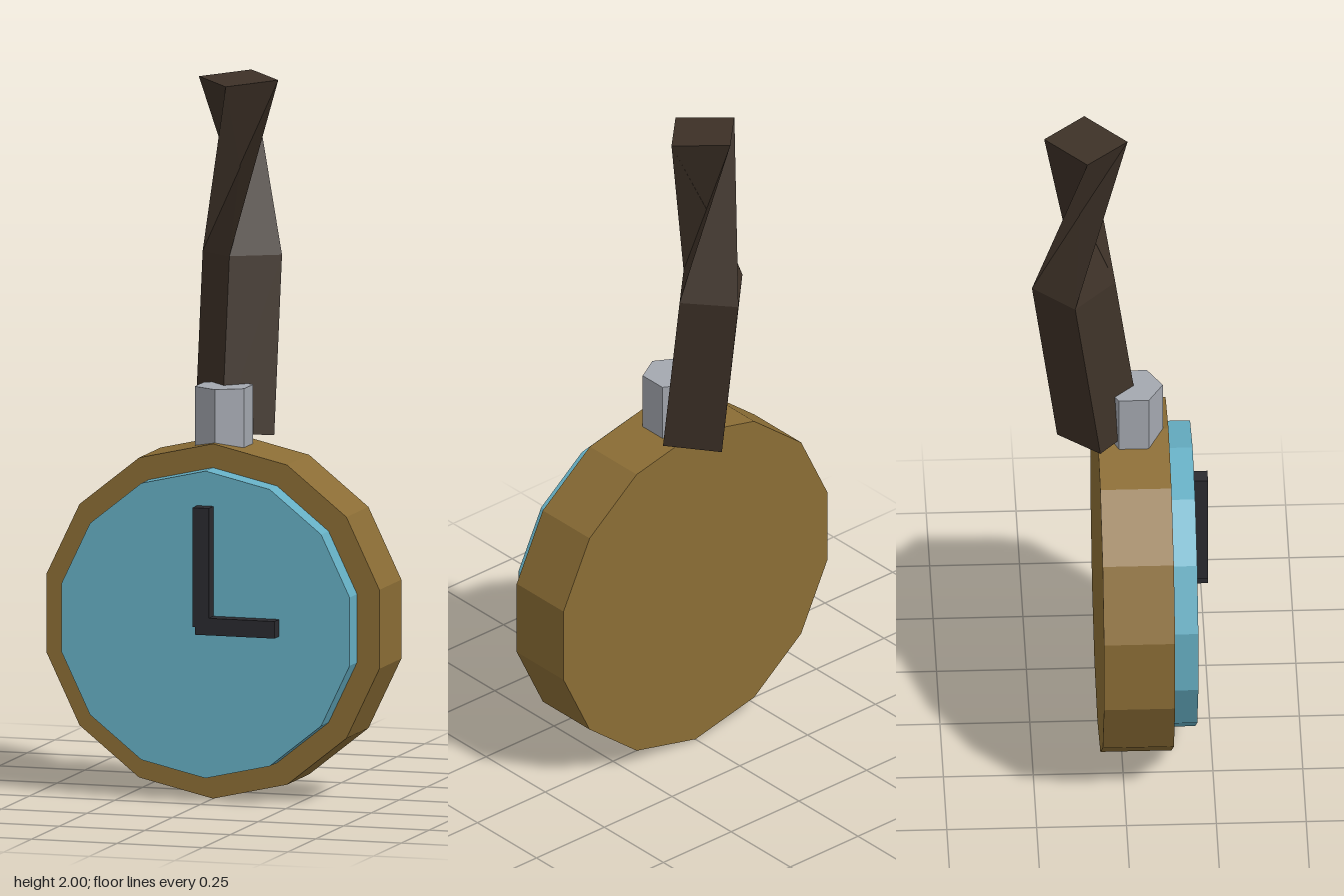
import * as THREE from 'three';

const material = (color) => new THREE.MeshStandardMaterial({ color, flatShading: true });

function addPart(group, name, geometry, mat, x, y, z) {
  const mesh = new THREE.Mesh(geometry, mat);
  mesh.name = name;
  mesh.position.set(x, y, z);
  group.add(mesh);
}

// Strap skin: diamond rings [y, z, tilt, turn], turn counted in quarter twists
function strapGeometry(rings, radius) {
  const positions = [];
  const index = [];
  for (const [y, z, tilt, turn] of rings) {
    for (let i = 0; i < 4; i++) {
      const a = (i + turn) * Math.PI / 2;
      const dz = Math.cos(a) * radius;
      positions.push(Math.sin(a) * radius, y + dz * tilt, z + dz);
    }
  }
  for (let r = 0; r < rings.length - 1; r++) {
    for (let i = 0; i < 4; i++) {
      const a = r * 4 + i, b = r * 4 + (i + 1) % 4;
      index.push(a, b, b + 4, a, b + 4, a + 4);
    }
  }
  const top = (rings.length - 1) * 4;
  index.push(0, 2, 1, 0, 3, 2, top, top + 1, top + 2, top, top + 2, top + 3);
  const geometry = new THREE.BufferGeometry();
  geometry.setAttribute('position', new THREE.Float32BufferAttribute(positions, 3));
  geometry.setIndex(index);
  const flat = geometry.toNonIndexed();
  flat.computeVertexNormals();
  return flat;
}

export function createModel() {
  const group = new THREE.Group();
  group.name = 'pocketWatch';
  const brass = material(0x8b6d35);
  const blue = material(0x66afc4);
  const steel = material(0xa4a8b0);
  const dark = material(0x2a2a2f);
  const leather = material(0x3d3127);
  // The twist pinches into paper-thin fins, so both sides show
  leather.side = THREE.DoubleSide;

  // Fourteen-sided case and raised dial
  const disc = (r, depth) => new THREE.CylinderGeometry(r, r, depth, 14).rotateX(Math.PI / 2);
  addPart(group, 'case', disc(0.499, 0.198), brass, 0, 0.499, 0.037);
  addPart(group, 'dial', disc(0.432, 0.068), blue, 0, 0.499, 0.169);

  // Hands
  addPart(group, 'minuteHand', new THREE.BoxGeometry(0.048, 0.336, 0.046), dark, -0.001, 0.665, 0.222);
  addPart(group, 'hourHand', new THREE.BoxGeometry(0.232, 0.048, 0.046), dark, 0.099, 0.5, 0.222);

  // Hexagonal crown
  addPart(group, 'crown', new THREE.CylinderGeometry(0.083, 0.083, 0.166, 6), steel, 0, 1.065, 0.037);

  // Strap leaning back, then twisted a quarter turn
  const strap = strapGeometry([
    [1.0, -0.058, 0.12, 0],
    [1.497, -0.128, 0.06, 0],
    [1.993, -0.094, -0.065, 1],
  ], 0.116);
  addPart(group, 'strap', strap, leather, 0, 0, 0);

  return group;
}
